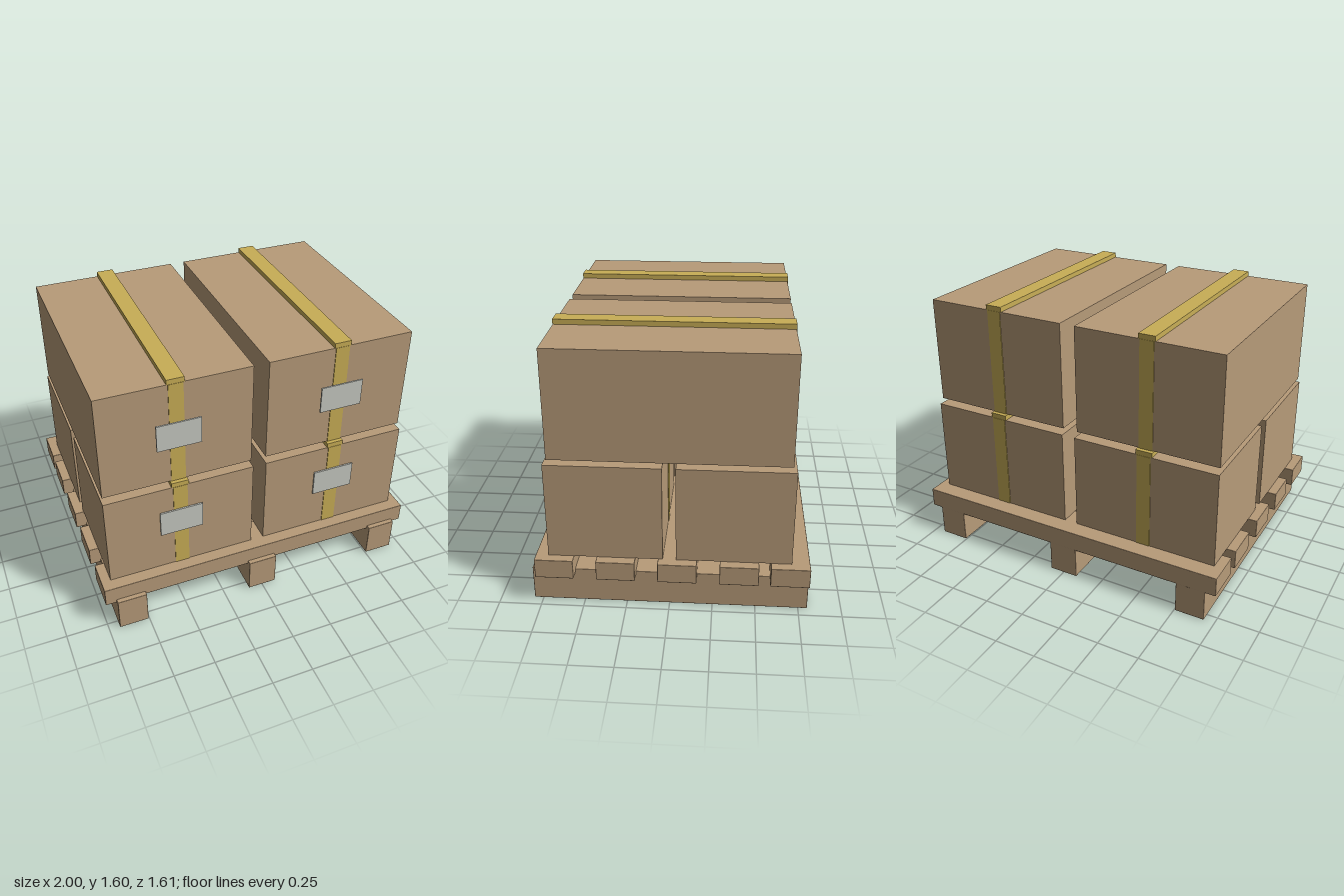
import * as THREE from 'three';
import { RoundedBoxGeometry } from 'three/addons/geometries/RoundedBoxGeometry.js';

function material(name, color) {
  const m = new THREE.MeshStandardMaterial({ color });
  m.name = name;
  return m;
}

export function createModel() {
  const model = new THREE.Group();
  model.name = 'loadedPallet';
  const brown = material('cardboardAndWood', 0xb79b79);
  const yellow = material('packingTape', 0xc8ae56);
  const grey = material('paperLabel', 0xc6c8c1);

  // Box from its extents on each axis; a bevel softens the timber edges
  function block(parent, name, mat, [x0, x1], [y0, y1], [z0, z1], bevel = 0) {
    const size = [x1 - x0, y1 - y0, z1 - z0];
    const geometry = bevel
      ? new RoundedBoxGeometry(...size, 1, bevel)
      : new THREE.BoxGeometry(...size);
    const mesh = new THREE.Mesh(geometry, mat);
    mesh.name = name;
    mesh.position.set((x0 + x1) / 2, (y0 + y1) / 2, (z0 + z1) / 2);
    parent.add(mesh);
  }

  // Pallet: three runners under five deck boards
  const pallet = new THREE.Group();
  pallet.name = 'pallet';
  model.add(pallet);
  for (const x of [-0.845, 0, 0.845]) {
    block(pallet, 'runner', brown, [x - 0.09, x + 0.09], [0, 0.213], [-0.803, 0.803], 0.004);
  }
  for (const z of [0.662, 0.307, -0.047, -0.402, -0.692]) {
    block(pallet, 'deckBoard', brown, [-1, 1], [0.19, 0.309], [z - 0.112, z + 0.112], 0.004);
  }

  // Carton with a tape ridge on top and tape down its front and back
  function carton(name, x, halfWidth, [y0, y1], [z0, z1]) {
    const group = new THREE.Group();
    group.name = name;
    model.add(group);
    block(group, 'cartonBody', brown, [x - halfWidth, x + halfWidth], [y0, y1], [z0, z1]);
    block(group, 'topTape', yellow, [x - 0.051, x + 0.051], [y1, y1 + 0.03], [z0 - 0.002, z1 + 0.002]);
    for (const [a, b] of [[z1, z1 + 0.004], [z0 - 0.004, z0]]) {
      block(group, 'sideTape', yellow, [x - 0.043, x + 0.043], [y0, y1], [a, b]);
    }
  }

  // Two stacks: two short cartons below, one long carton above
  for (const x of [-0.492, 0.492]) {
    carton('lowerFrontCarton', x, 0.451, [0.309, 0.895], [0.038, 0.7]);
    carton('lowerBackCarton', x, 0.451, [0.309, 0.895], [-0.7, -0.038]);
    carton('upperCarton', x, 0.446, [0.927, 1.573], [-0.677, 0.677]);

    // Front labels
    for (const y of [0.65, 1.265]) {
      block(model, 'label', grey, [x - 0.13, x + 0.13], [y - 0.083, y + 0.083], [0.706, 0.7155]);
    }
  }
  return model;
}
